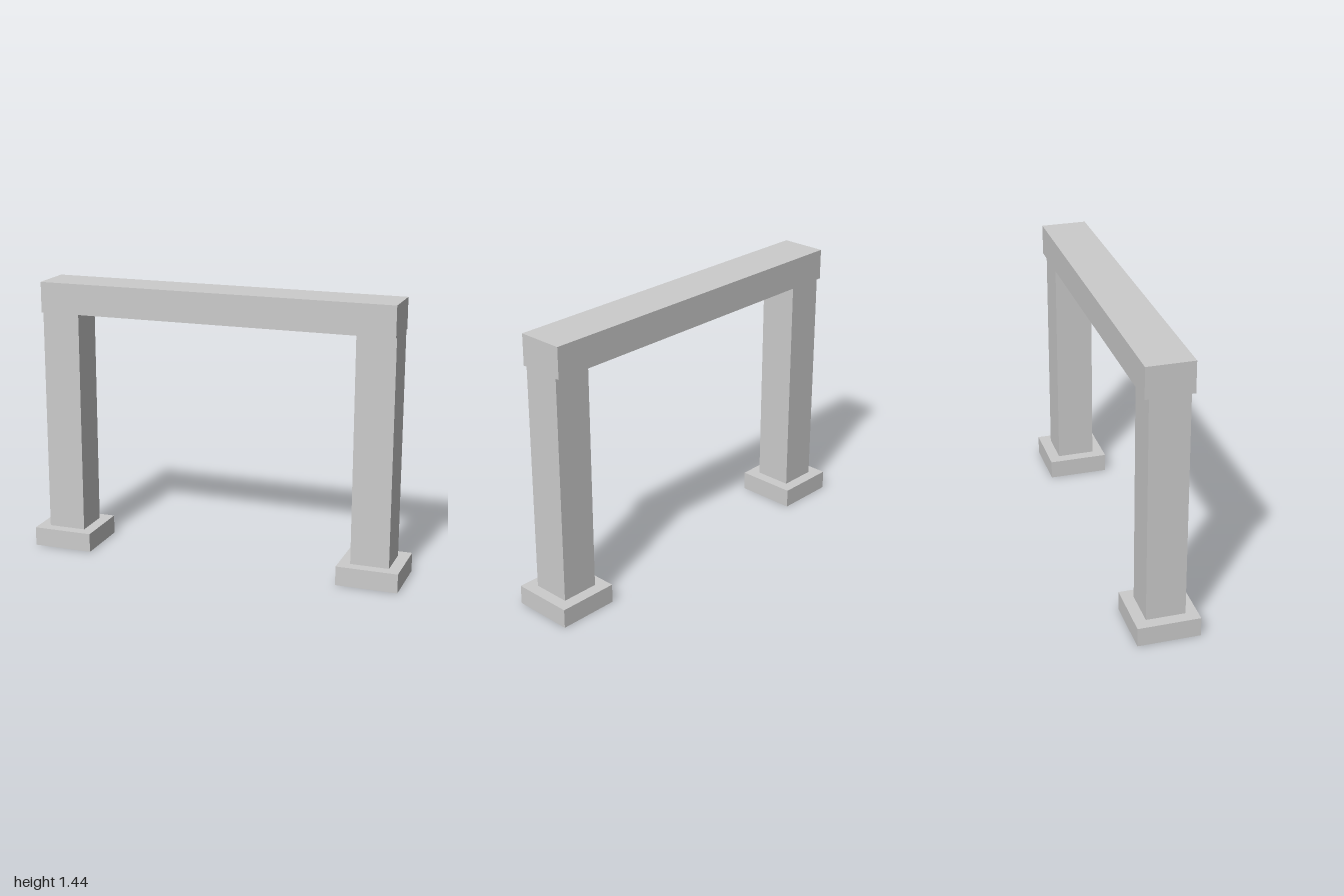
import * as THREE from 'three';

const BASE_H = 0.1, BEAM_BOTTOM = 1.28, BEAM_TOP = 1.44, POST_X = 0.84;

export function createModel() {
  const model = new THREE.Group();
  model.name = 'portalFrame';
  const material = new THREE.MeshStandardMaterial({ color: 0xcccccc, flatShading: true });

  // Box spanning bottom..top in y, centred on z = 0
  const addBox = (name, x, bottom, top, width, depth) => {
    const mesh = new THREE.Mesh(new THREE.BoxGeometry(width, top - bottom, depth), material);
    mesh.name = name;
    mesh.position.set(x, (bottom + top) / 2, 0);
    model.add(mesh);
  };

  // Footing and column on each side
  for (const [side, sign] of [['left', 1], ['right', -1]]) {
    addBox(`${side}Footing`, sign * POST_X, 0, BASE_H, 0.32, 0.32);
    addBox(`${side}Column`, sign * POST_X, BASE_H, BEAM_BOTTOM, 0.2, 0.2);
  }

  // Beam across the columns, flush with their outer faces
  addBox('beam', 0, BEAM_BOTTOM, BEAM_TOP, 1.88, 0.24);

  return model;
}
